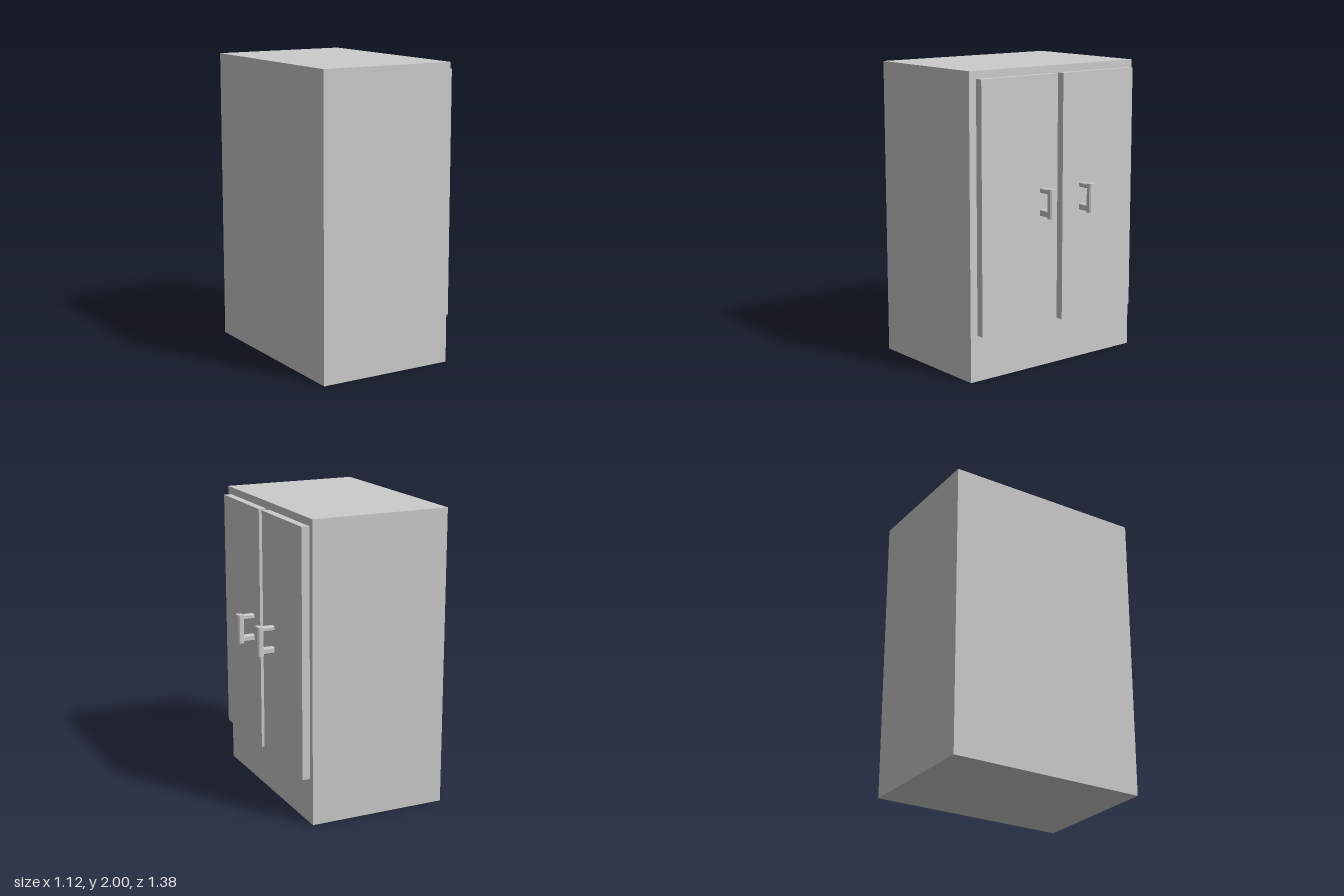
import * as THREE from 'three';

const material = new THREE.MeshStandardMaterial({ color: 0xcccccc, flatShading: true });

function addMesh(parent, name, geometry, x, y, z) {
  const mesh = new THREE.Mesh(geometry, material);
  mesh.name = name;
  mesh.position.set(x, y, z);
  parent.add(mesh);
  return mesh;
}

// Straight bar along z with a chamfered rectangular section, centred on the origin
function chamferedBar(w, h, length, c) {
  const a = w / 2, b = h / 2;
  const section = new THREE.Shape([
    [a, -b + c], [a, b - c], [a - c, b], [-a + c, b],
    [-a, b - c], [-a, -b + c], [-a + c, -b], [a - c, -b],
  ].map(([x, y]) => new THREE.Vector2(x, y)));
  return new THREE.ExtrudeGeometry(section, { depth: length, bevelEnabled: false })
    .translate(0, 0, -length / 2);
}

// Upright grip carried by two posts
function createHandle() {
  const handle = new THREE.Group();
  handle.name = 'handle';
  const grip = chamferedBar(0.042, 0.058, 0.195, 0.009).rotateX(-Math.PI / 2);
  addMesh(handle, 'grip', grip, 0.097, 0, 0);
  for (const [name, y, height] of [['upperPost', 0.078, 0.032], ['lowerPost', -0.07, 0.042]]) {
    const post = chamferedBar(0.043, height, 0.08, 0.006).rotateY(Math.PI / 2);
    addMesh(handle, name, post, 0.038, y, 0);
  }
  return handle;
}

export function createModel() {
  const cabinet = new THREE.Group();
  cabinet.name = 'cabinet';

  // Carcass
  addMesh(cabinet, 'body', new THREE.BoxGeometry(0.947, 2, 1.38), -0.0865, 1, 0);

  // Doors with their handles, on the +x side
  const doors = [
    { name: 'leftDoor', z: 0.327, handleZ: 0.14 },
    { name: 'rightDoor', z: -0.34, handleZ: -0.197 },
  ];
  for (const { name, z, handleZ } of doors) {
    const door = new THREE.Group();
    door.name = name;
    addMesh(door, 'doorPanel', new THREE.BoxGeometry(0.053, 1.645, 0.617), 0.4135, 1.128, z);
    const handle = createHandle();
    handle.position.set(0.44, 1.127, handleZ);
    door.add(handle);
    cabinet.add(door);
  }
  return cabinet;
}
